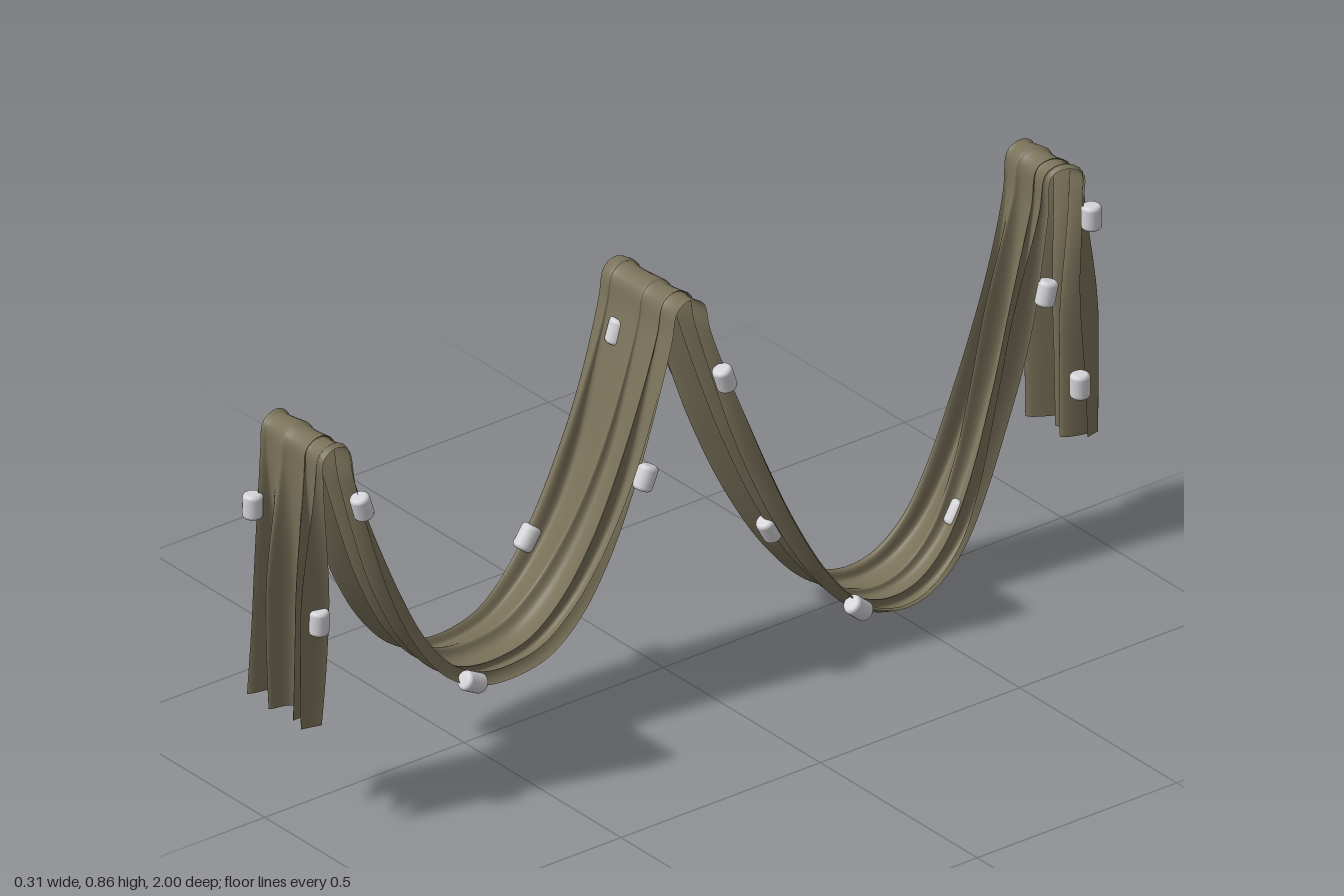
import * as THREE from 'three';

const CREST = 0.861;

// Half of a swag: from height `top` at zFrom down to its lowest point, steepness set by power
function halfSwag(zTop, top, zLow, low, power) {
  const points = [];
  for (const w of [1, 0.88, 0.74, 0.58, 0.4, 0.2, 0]) {
    points.push(new THREE.Vector3(0, low + (top - low) * w ** power, zLow + (zTop - zLow) * w));
  }
  return points;
}

// Rounded fold where the cloth passes over a support
function crest(z) {
  return [0.9, 0.45, 0, -0.45, -0.9].map((a) =>
    new THREE.Vector3(0, CREST - 0.05 * (1 - Math.cos(a)), z + 0.043 * Math.sin(a)));
}

// Straight hanging end, from the hem up
function hang(zHem, zTop) {
  const points = [];
  for (const w of [0, 0.25, 0.5, 0.72, 0.88, 1]) {
    points.push(new THREE.Vector3(0, 0.25 + 0.54 * w, zHem + (zTop - zHem) * w));
  }
  return points;
}

// Centre line, from the front hem to the rear hem
const path = new THREE.CatmullRomCurve3([
  ...hang(0.966, 0.957), ...crest(0.92),
  ...halfSwag(0.87, 0.76, 0.45, 0.193, 2.6), ...halfSwag(0.045, 0.785, 0.45, 0.193, 2.25).reverse().slice(1),
  ...crest(0),
  ...halfSwag(-0.045, 0.785, -0.5, 0.016, 1.92), ...halfSwag(-0.883, 0.76, -0.5, 0.016, 2.5).reverse().slice(1),
  ...crest(-0.925), ...hang(-0.963, -0.96).reverse(),
]);
path.arcLengthDivisions = 1200;

// Left edge, right edge and pleat depth at each z
const widths = new THREE.CubicInterpolant(
  [-0.96, -0.88, -0.8, -0.68, -0.5, -0.32, -0.15, 0, 0.15, 0.3, 0.5, 0.75, 0.88, 0.96],
  [
    -0.037, 0.128, 0.036, -0.04, 0.097, 0.025, -0.045, 0.102, 0.024, -0.055, 0.123, 0.015,
    -0.078, 0.128, 0.009, -0.1, 0.126, 0.01, -0.128, 0.112, 0.013, -0.154, 0.085, 0.01,
    -0.13, 0.104, 0.014, -0.12, 0.108, 0.013, -0.102, 0.114, 0.01, -0.085, 0.126, 0.015,
    -0.074, 0.128, 0.015, -0.065, 0.128, 0.035,
  ], 3);

// Sheet swept along the path, its cross-section gathered into overlapping pleats
function drapeGeometry(rows, cols) {
  const pos = [], index = [];
  for (let i = 0; i <= rows; i++) {
    const t = i / rows;
    const c = path.getPointAt(t);
    const tan = path.getTangentAt(t);
    const [left, right, fullDepth] = widths.evaluate(c.z);
    // Pleats flatten toward the crests
    const depth = 0.003 + fullDepth * THREE.MathUtils.smoothstep(CREST - c.y, 0, 0.38);
    const drift = 1.3 * Math.sin(t * 9) + 0.5 * Math.sin(t * 23 + 1);
    for (let j = 0; j <= cols; j++) {
      const u = j / cols;
      const hold = Math.min(1, 6 * u, 6 * (1 - u));
      const phase = Math.PI * 2 * (3.4 * u + 0.22 * Math.sin(6 * u + 1)) + drift;
      const gather = 0.052 * Math.sin(phase + 0.6) * hold;
      const fold = depth * (0.75 * Math.sin(phase) + 0.28 * Math.sin(phase * 0.53 + 2 + drift));
      pos.push(left + (right - left) * (u + gather), c.y - tan.z * fold, c.z + tan.y * fold);
      if (i < rows && j < cols) {
        const a = i * (cols + 1) + j, b = a + cols + 1;
        index.push(a, a + 1, b, a + 1, b + 1, b);
      }
    }
  }
  const g = new THREE.BufferGeometry();
  g.setAttribute('position', new THREE.Float32BufferAttribute(pos, 3));
  g.setIndex(index);
  g.computeVertexNormals();
  return g;
}

// Short cylinder with softly rounded rims
function pegGeometry(radius, height, round) {
  const h = height / 2;
  const profile = [new THREE.Vector2(0, -h)];
  for (const side of [-1, 1]) {
    for (let k = 0; k <= 4; k++) {
      const a = (side < 0 ? k - 4 : k) * Math.PI / 8;
      profile.push(new THREE.Vector2(radius - round + round * Math.cos(a), side * (h - round) + round * Math.sin(a)));
    }
  }
  profile.push(new THREE.Vector2(0, h));
  return new THREE.LatheGeometry(profile, 20);
}

// Direction of the drape at the point nearest to p
function tangentNear(p) {
  let best = Infinity, at = 0;
  for (let i = 0; i <= 400; i++) {
    const c = path.getPointAt(i / 400);
    const d = (c.y - p.y) ** 2 + (c.z - p.z) ** 2;
    if (d < best) { best = d; at = i / 400; }
  }
  return path.getTangentAt(at);
}

export function createModel() {
  const model = new THREE.Group();
  model.name = 'drapedCloth';

  const cloth = new THREE.MeshStandardMaterial({ color: 0x797159, side: THREE.DoubleSide });
  cloth.name = 'olive cloth';
  const pale = new THREE.MeshStandardMaterial({ color: 0xd4d4d8 });
  pale.name = 'pale grey';

  const drape = new THREE.Mesh(drapeGeometry(420, 110), cloth);
  drape.name = 'drape';
  model.add(drape);

  // Pegs clipped along the cloth
  const pegs = new THREE.Group();
  pegs.name = 'pegs';
  const peg = pegGeometry(0.021, 0.054, 0.009);
  const spots = [
    [-0.07, 0.665, 0.975], [0.122, 0.48, 0.96], [0.132, 0.71, 0.86],
    [-0.09, 0.44, 0.745], [0.123, 0.217, 0.575], [-0.123, 0.325, 0.245],
    [0.108, 0.52, 0.13], [-0.09, 0.735, 0.045], [0.1, 0.67, -0.075],
    [0.02, 0.24, -0.25], [0.126, 0.06, -0.39], [0.04, 0.13, -0.705],
    [0.1, 0.59, -0.882], [0.132, 0.745, -0.97], [0.13, 0.375, -0.943],
  ];
  const up = new THREE.Vector3(0, 1, 0);
  for (const [x, y, z] of spots) {
    const mesh = new THREE.Mesh(peg, pale);
    mesh.name = 'peg';
    mesh.position.set(x, y, z);
    mesh.quaternion.setFromUnitVectors(up, tangentNear(mesh.position));
    pegs.add(mesh);
  }
  model.add(pegs);
  return model;
}
